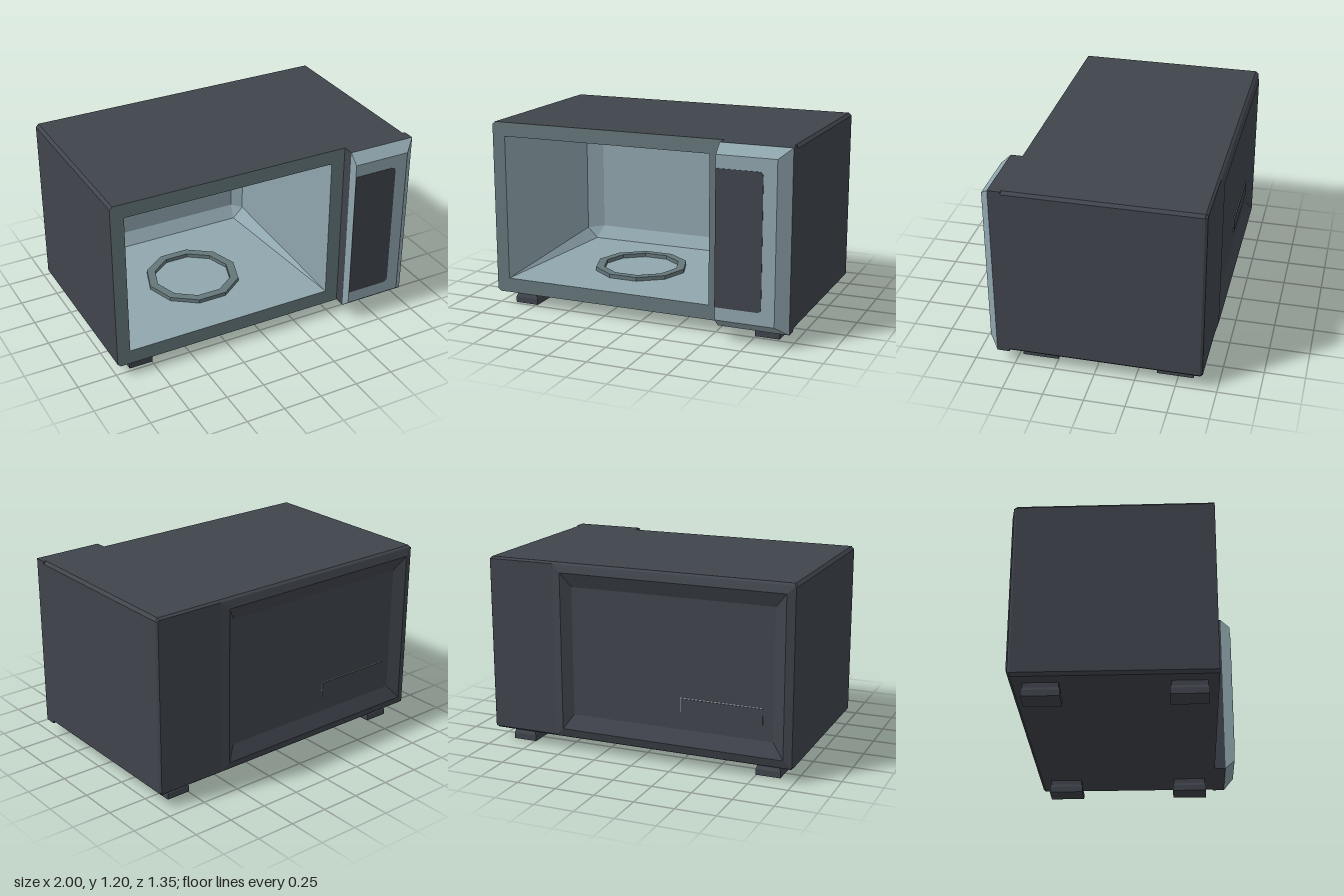
import * as THREE from 'three';

const mat = (name, color) => {
  const m = new THREE.MeshStandardMaterial({ color });
  m.name = name;
  return m;
};

// Rectangle outline with corner cut c, anticlockwise seen from +z (always 8 points)
function rect(x0, x1, y0, y1, z, c = 0) {
  return [
    [x0 + c, y0], [x1 - c, y0], [x1, y0 + c], [x1, y1 - c],
    [x1 - c, y1], [x0 + c, y1], [x0, y1 - c], [x0, y0 + c],
  ].map(([x, y]) => new THREE.Vector3(x, y, z));
}

// Flat-shaded skin over outlines, running from +z to -z; flip turns it inside out
function loft(rings, { cap = true, flip = false } = {}) {
  const pos = [];
  const tri = (a, b, c) => {
    const area = b.clone().sub(a).cross(c.clone().sub(a)).length();
    if (area < 1e-8) return;
    for (const p of flip ? [a, c, b] : [a, b, c]) pos.push(p.x, p.y, p.z);
  };
  const n = rings[0].length;
  for (let r = 0; r < rings.length - 1; r++) {
    const A = rings[r], B = rings[r + 1];
    for (let i = 0; i < n; i++) {
      const j = (i + 1) % n;
      tri(A[i], B[i], B[j]);
      tri(A[i], B[j], A[j]);
    }
  }
  const end = rings[rings.length - 1];
  if (cap) for (let i = 1; i < n - 1; i++) tri(end[0], end[i + 1], end[i]);
  const g = new THREE.BufferGeometry();
  g.setAttribute('position', new THREE.Float32BufferAttribute(pos, 3));
  g.computeVertexNormals();
  return g;
}

export function createModel() {
  const model = new THREE.Group();
  model.name = 'microwaveOven';
  const dark = mat('charcoal', 0x40444c);
  const mid = mat('slateGrey', 0x65777b);
  const light = mat('paleBlueGrey', 0x90a6ae);

  const add = (name, geo, material, x = 0, y = 0, z = 0) => {
    const m = new THREE.Mesh(geo, material);
    m.name = name;
    m.position.set(x, y, z);
    model.add(m);
    return m;
  };
  const box = (name, material, x0, x1, y0, y1, z0, z1) =>
    add(name, new THREE.BoxGeometry(x1 - x0, y1 - y0, z1 - z0), material,
      (x0 + x1) / 2, (y0 + y1) / 2, (z0 + z1) / 2);

  // Outer casing with small cut edges
  const y0 = 0.085, y1 = 1.2, split = 0.555;
  add('casing', loft([
    rect(-1, 1, y0, y1, 0.535, 0.018),
    rect(-1, 1, y0, y1, -0.645, 0.018),
    rect(-0.99, 0.99, y0 + 0.012, y1 - 0.012, -0.66, 0.012),
  ], { cap: false }), dark);

  // Back: plain strip beside a raised ridge around a sunken panel
  const strip = new THREE.PlaneGeometry(0.99 - split, y1 - y0 - 0.024);
  strip.rotateY(Math.PI);
  add('backStrip', strip, dark, (0.99 + split) / 2, (y0 + y1) / 2, -0.66);
  add('backPanel', loft([
    rect(-0.99, split, y0 + 0.012, y1 - 0.012, -0.66),
    rect(-0.94, 0.5, 0.145, 1.14, -0.675),
    rect(-0.865, 0.44, 0.235, 1.05, -0.635),
  ]), dark);
  box('ventEdge', light, -0.792, -0.275, 0.345, 0.437, -0.637, -0.634);
  box('ventCover', dark, -0.8, -0.28, 0.335, 0.432, -0.641, -0.634);

  // Front frame around the cooking opening
  const toShape = (ring, Type) => new Type(ring.map((p) => new THREE.Vector2(p.x, p.y)));
  const c = 0.018;
  const frame = new THREE.Shape();
  frame.moveTo(-1 + c, y0);
  for (const [x, y] of [[split, y0], [split, y1], [-1 + c, y1], [-1, y1 - c], [-1, y0 + c]]) frame.lineTo(x, y);
  frame.closePath();
  frame.holes.push(toShape(rect(-0.915, 0.465, 0.178, 1.11, 0, 0.0005), THREE.Path));
  add('frontFrame', new THREE.ShapeGeometry(frame), mid, 0, 0, 0.535);

  // Cooking cavity, tapering to a bevelled back wall
  add('cavity', loft([
    rect(-0.915, 0.465, 0.178, 1.11, 0.535),
    rect(-0.895, 0.445, 0.178, 1.09, -0.56, 0.07),
    rect(-0.79, 0.38, 0.26, 1.02, -0.61),
  ], { flip: true }), light);

  // Ten-sided turntable ring
  const profile = [[0.25, 0], [0.305, 0], [0.305, 0.025], [0.25, 0.025], [0.25, 0]]
    .map(([r, h]) => new THREE.Vector2(r, h));
  const ring = new THREE.LatheGeometry(profile, 10, Math.PI / 2).toNonIndexed();
  ring.computeVertexNormals();
  add('turntableRing', ring, mid, -0.225, 0.179, -0.01);

  // Control panel: dark base, bevelled pale fascia, dark key area
  box('panelBase', dark, split, 1, y0, y1, 0.53, 0.607);
  add('panelFascia', loft([
    rect(split, 1, y0, y1, 0.607),
    rect(split, 0.927, 0.14, 1.14, 0.67),
  ], { flip: true }), light);
  const r = 0.03, kx = 0.845, k0 = 0.22, k1 = 1.06;
  const keys = new THREE.Shape();
  keys.moveTo(split, k0);
  keys.lineTo(kx - r, k0);
  keys.quadraticCurveTo(kx, k0, kx, k0 + r);
  keys.lineTo(kx, k1 - r);
  keys.quadraticCurveTo(kx, k1, kx - r, k1);
  keys.lineTo(split, k1);
  keys.closePath();
  add('keyArea', new THREE.ExtrudeGeometry(keys, { depth: 0.004, bevelEnabled: false, curveSegments: 4 }),
    dark, 0, 0, 0.669);

  // Feet, slightly wider at the bottom
  const centred = (w, d, h) => rect(-w / 2, w / 2, -d / 2, d / 2, h);
  const foot = loft([
    centred(0.142, 0.208, 0.095), centred(0.142, 0.208, 0.055),
    centred(0.155, 0.225, 0.038), centred(0.155, 0.225, 0),
  ]);
  foot.rotateX(-Math.PI / 2);
  for (const x of [-0.823, 0.823])
    for (const z of [0.365, -0.48]) add('foot', foot, dark, x, 0, z);

  return model;
}
